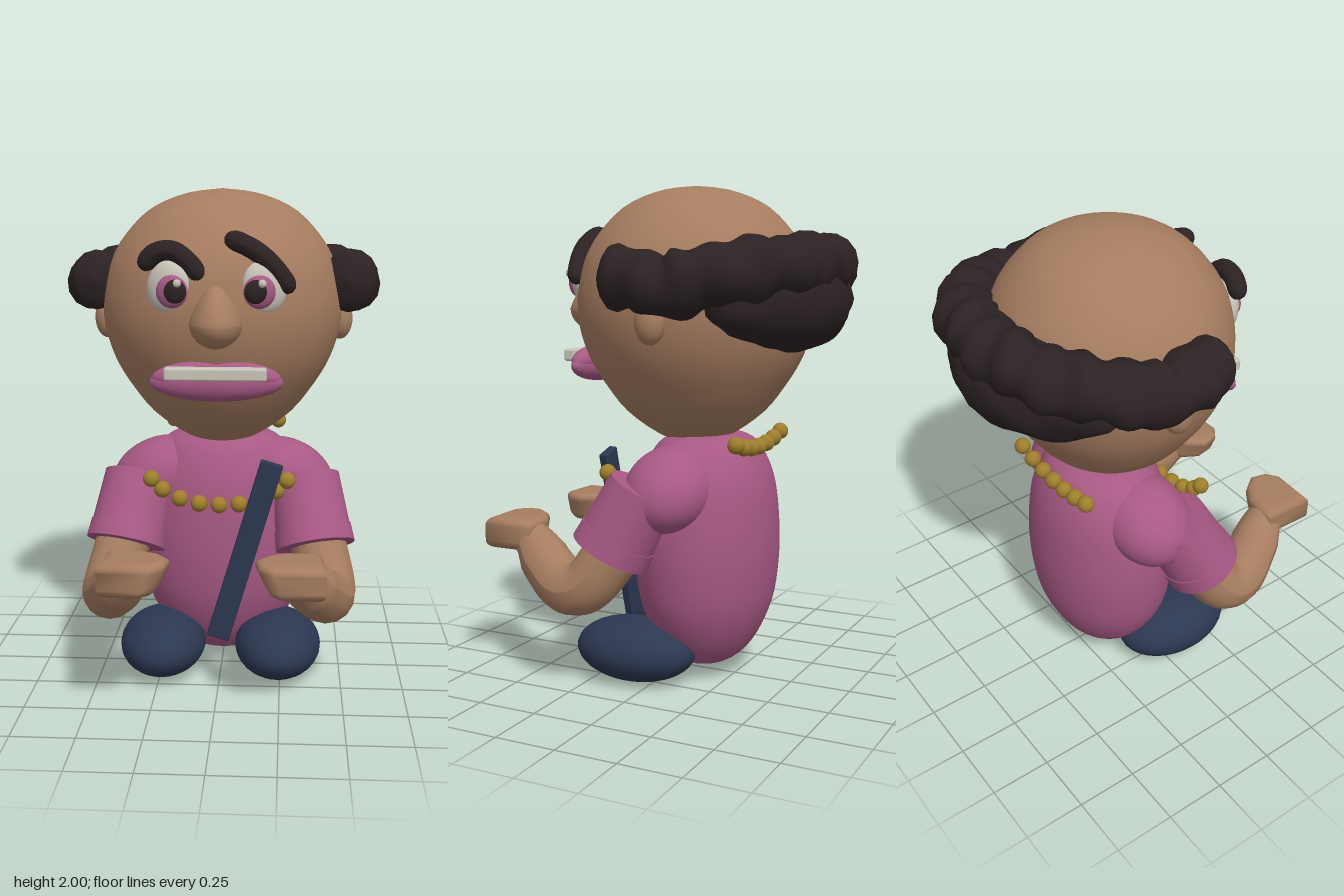
import * as THREE from 'three';
import { mergeVertices } from 'three/addons/utils/BufferGeometryUtils.js';
import { RoundedBoxGeometry } from 'three/addons/geometries/RoundedBoxGeometry.js';

const mat = (name, color) => {
  const m = new THREE.MeshStandardMaterial({ color });
  m.name = name;
  return m;
};
const V = (x, y, z) => new THREE.Vector3(x, y, z);

export function createModel() {
  const skin = mat('skin', 0xa67d60), pink = mat('pink', 0xa75984), navy = mat('navy', 0x2c3751);
  const hair = mat('hair', 0x2c2223), gold = mat('gold', 0x9e7e2b), ivory = mat('ivory', 0xc8c4b8);
  const root = new THREE.Group();
  root.name = 'figure';

  const add = (name, geo, material, pos = [0, 0, 0], rot = [0, 0, 0], parent = root) => {
    const m = new THREE.Mesh(geo, material);
    m.name = name;
    m.position.set(...pos);
    m.rotation.set(...rot);
    parent.add(m);
    return m;
  };
  const ball = (name, material, pos, radii, rot, parent) => {
    const m = add(name, new THREE.SphereGeometry(1, 32, 22), material, pos, rot, parent);
    m.scale.set(...radii);
    return m;
  };
  // Moves every vertex by a rule (x, y, z) => [x, y, z]
  const reshape = (geo, rule) => {
    const p = geo.attributes.position;
    for (let i = 0; i < p.count; i++) p.setXYZ(i, ...rule(p.getX(i), p.getY(i), p.getZ(i)));
    geo.computeVertexNormals();
    return geo;
  };
  // Smooth lathe through a few [radius, height] points
  const lathe = (pts) => {
    const c = new THREE.SplineCurve(pts.map((p) => new THREE.Vector2(...p)));
    const ps = c.getPoints(40);
    ps.forEach((p) => { p.x = Math.max(p.x, 0); });
    return new THREE.LatheGeometry(ps, 48);
  };
  // Tube whose radius follows a rule of u (along) and v (around)
  const shapedTube = (points, rule, seg = 40, sides = 16) => {
    const curve = new THREE.CatmullRomCurve3(points);
    const g = new THREE.TubeGeometry(curve, seg, 1, sides, false);
    const p = g.attributes.position, n = g.attributes.normal, uv = g.attributes.uv;
    for (let i = 0; i < p.count; i++) {
      const u = uv.getX(i), c = curve.getPointAt(u), r = rule(u, uv.getY(i) % 1);
      p.setXYZ(i, c.x + n.getX(i) * r, c.y + n.getY(i) * r, c.z + n.getZ(i) * r);
    }
    g.computeVertexNormals();
    return g;
  };
  // Rounds both ends of a tube over a fraction e of its length
  const round = (u, e) => {
    const t = Math.min(1, Math.min(u, 1 - u) / e);
    return Math.sqrt(Math.max(0, 1 - (1 - t) ** 2));
  };

  // Head
  add('head', lathe([[0, 0.965], [0.13, 0.99], [0.28, 1.09], [0.372, 1.2], [0.44, 1.31], [0.479, 1.42], [0.492, 1.52],
    [0.483, 1.62], [0.455, 1.72], [0.395, 1.82], [0.292, 1.92], [0.15, 1.98], [0, 2]]), skin, [0, 0, -0.07])
    .scale.set(0.99, 1, 0.975);

  // Nose: broad at the nostrils, sloping back to a narrow bridge
  add('nose', reshape(new THREE.SphereGeometry(1, 32, 24), (x, y, z) => {
    const t = Math.max(0, y);
    return [x * 0.1 * (1 - 0.3 * t) * (1 - 0.15 * Math.max(0, z)), 1.505 + y * (y > 0 ? 0.145 : 0.095),
      0.4 + z * 0.118 - 0.045 * t];
  }), skin);

  // Bumpy hair ring with a full patch at the nape
  const ring = [[-0.505, 1.64, 0.08], [-0.51, 1.635, -0.05], [-0.51, 1.61, -0.2], [-0.455, 1.65, -0.36],
    [-0.27, 1.675, -0.53], [0, 1.685, -0.59]];
  const path = [...ring, ...ring.slice(0, 5).reverse().map(([x, y, z]) => [-x, y, z])];
  add('hairRing', shapedTube(path.map((p) => V(...p)), (u, v) => round(u, 0.045) * 0.117 *
    (1 + 0.075 * Math.sin(u * 92 + 1.2 * Math.sin(v * Math.PI * 2)) +
      0.06 * Math.sin(u * 47 + v * Math.PI * 4)), 110, 16), hair);
  add('hairNape', reshape(new THREE.SphereGeometry(1, 36, 24), (x, y, z) => {
    const k = 1 + 0.03 * Math.sin(x * 13 + y * 4) * Math.cos(y * 9);
    return [x * 0.46 * k, 1.555 + y * 0.205 * k, -0.49 + z * 0.215 * k + 0.13 * x * x];
  }), hair);

  // Eyes and ears
  for (const s of [-1, 1]) {
    const side = s > 0 ? 'left' : 'right';
    ball(side + 'EyeWhite', ivory, [s * 0.18, 1.635, 0.352], [0.086, 0.102, 0.045], [0, s * 0.35, s * 0.25]);
    ball(side + 'Iris', pink, [s * 0.163, 1.622, 0.393], [0.06, 0.062, 0.029], [0, s * 0.15, 0]);
    ball(side + 'Pupil', hair, [s * 0.152, 1.623, 0.405], [0.045, 0.047, 0.026], [0, s * 0.1, 0]);
    ball(side + 'EyeGlint', ivory, [s > 0 ? 0.174 : -0.14, 1.655, 0.428], [0.015, 0.015, 0.011]);
    ball(side + 'Ear', skin, [s * 0.482, 1.475, -0.11], [0.052, 0.085, 0.06]);
  }

  // Eyebrows, each at its own slant
  const brows = {
    rightBrow: [[-0.285, 1.7, 0.33], [-0.23, 1.76, 0.345], [-0.165, 1.77, 0.355], [-0.1, 1.725, 0.36], [-0.05, 1.66, 0.37]],
    leftBrow: [[0.03, 1.82, 0.335], [0.09, 1.8, 0.35], [0.155, 1.765, 0.355], [0.215, 1.71, 0.35], [0.285, 1.615, 0.33]],
  };
  for (const [name, pts] of Object.entries(brows))
    add(name, shapedTube(pts.map((p) => V(...p)), (u) => 0.038 * round(u, 0.16)), hair);

  // Mouth
  ball('lowerLip', pink, [0, 1.278, 0.362], [0.255, 0.073, 0.058]);
  for (const s of [-1, 1])
    ball(s > 0 ? 'upperLipLeft' : 'upperLipRight', pink, [s * 0.11, 1.308, 0.362], [0.137, 0.048, 0.05], [0, 0, -s * 0.12]);
  add('teeth', new RoundedBoxGeometry(0.385, 0.05, 0.05, 3, 0.01), ivory, [0, 1.319, 0.422]);

  // Torso
  add('torso', lathe([[0, 0.04], [0.12, 0.06], [0.23, 0.14], [0.32, 0.3], [0.352, 0.48], [0.352, 0.64],
    [0.33, 0.8], [0.285, 0.91], [0.225, 0.98], [0.13, 1.01], [0, 1.015]]), pink, [0, 0, -0.125]).scale.set(1, 1, 0.81);

  // Hand: a softly rounded fist, narrowing underneath on the inner side
  const handShape = new THREE.Shape([[0.188, 0.595], [0.225, 0.545], [0.28, 0.52], [0.375, 0.52], [0.38, 0.66],
    [0.235, 0.665], [0.2, 0.64]].map(([x, z]) => new THREE.Vector2(x, -z)));
  let hand = new THREE.ExtrudeGeometry(handShape,
    { depth: 0.065, bevelEnabled: true, bevelThickness: 0.034, bevelSize: 0.038, bevelSegments: 6 });
  hand.rotateX(-Math.PI / 2).translate(0, 0.557, 0);
  hand.deleteAttribute('uv');
  hand.deleteAttribute('normal');
  hand = reshape(mergeVertices(hand), (x, y, z) =>
    [x + ((0.656 - y) / 0.133) * 0.06 * Math.max(0, (0.4 - x) / 0.25), y, z]);

  // Limbs are shaped for +x and mirrored
  const armPath = [V(0.38, 0.64, 0.06), V(0.415, 0.53, 0.12), V(0.442, 0.43, 0.2), V(0.436, 0.412, 0.29),
    V(0.385, 0.475, 0.41), V(0.338, 0.553, 0.51), V(0.315, 0.588, 0.6)];
  const arm = shapedTube(armPath, (u) => (0.116 - 0.018 * u) * (u > 0.75 ? 1 - (u - 0.75) * 1.5 : 1));
  const sleeveDir = V(0.045, -0.25, 0.125).normalize();
  const tilt = new THREE.Quaternion().setFromUnitVectors(V(0, -1, 0), sleeveDir);
  const start = V(0.345, 0.82, -0.01);

  for (const s of [-1, 1]) {
    const side = new THREE.Group();
    side.name = s > 0 ? 'leftLimbs' : 'rightLimbs';
    side.scale.x = s;
    root.add(side);
    ball('shoulder', pink, [0.265, 0.812, -0.08], [0.212, 0.158, 0.178], [0, 0, -0.4], side);
    const part = (name, from, len, rTop, rEnd) => {
      const c = start.clone().addScaledVector(sleeveDir, from + len / 2);
      add(name, new THREE.CylinderGeometry(rTop, rEnd, len, 40), pink, c.toArray(), [0, 0, 0], side).quaternion.copy(tilt);
    };
    part('sleeve', 0, 0.22, 0.144, 0.154);
    part('cuff', 0.215, 0.075, 0.158, 0.163);
    add('arm', arm, skin, [0, 0, 0], [0, 0, 0], side);
    add('hand', hand, skin, [0, 0, 0], [0, 0, 0], side);
    ball('foot', navy, [0.24, 0.132, 0.087], [0.178, 0.13, 0.258], [0, 0, 0], side);
  }

  // Slanted strap on the chest
  add('strap', new RoundedBoxGeometry(0.092, 0.765, 0.036, 2, 0.006), navy, [0.105, 0.57, 0.228], [0, 0, -0.287]);

  // Bead necklace, front and back strands
  const bead = new THREE.SphereGeometry(0.034, 18, 14);
  const front = [[0, 0.753], [0.08, 0.758], [0.158, 0.778], [0.228, 0.815], [0.272, 0.858]];
  front.forEach(([x, y]) => (x ? [-1, 1] : [1]).forEach((s) => add('frontBead', bead, gold, [s * x, y, 0.195])));
  for (let i = -3; i <= 3; i++)
    add('backBead', bead, gold, [i * 0.077, 0.965 + 0.0037 * i * i, -0.35]);

  return root;
}
